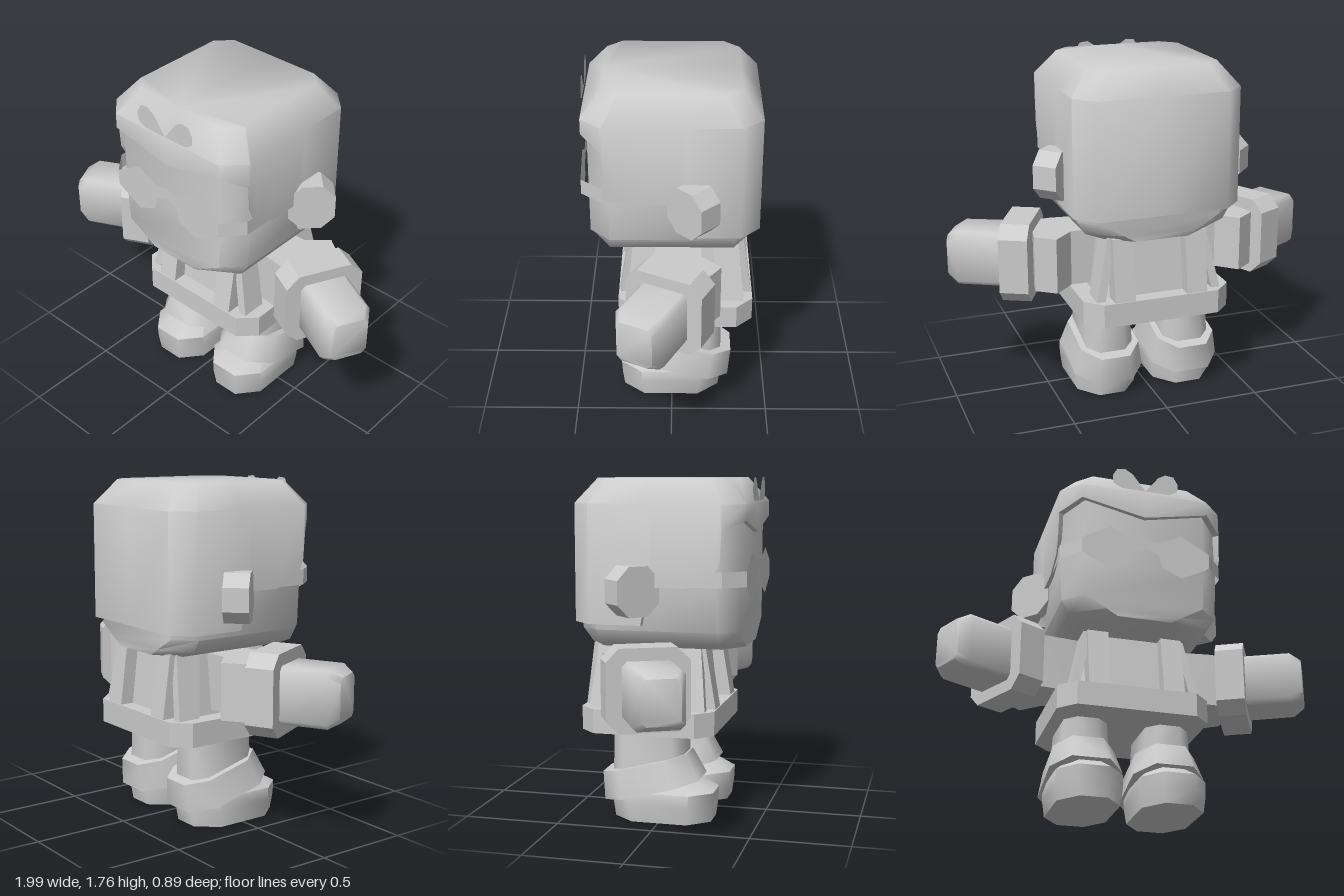
import * as THREE from 'three';
import { toCreasedNormals } from 'three/addons/utils/BufferGeometryUtils.js';

const grey = new THREE.MeshStandardMaterial({ color: 0xcccccc });
const thin = new THREE.MeshStandardMaterial({ color: 0xcccccc, side: THREE.DoubleSide });

function add(parent, name, geometry, material = grey) {
  const mesh = new THREE.Mesh(geometry, material);
  mesh.name = name;
  parent.add(mesh);
  return mesh;
}

// Skins a stack of closed rings, each running counter-clockwise seen from above.
function loft(rings, crease = 0.6, capBottom = true) {
  const n = rings[0].length;
  const index = [];
  for (let r = 0; r < rings.length - 1; r++) {
    for (let i = 0; i < n; i++) {
      const a = r * n + i, b = r * n + (i + 1) % n;
      index.push(a, b, b + n, a, b + n, a + n);
    }
  }
  const top = (rings.length - 1) * n;
  for (let i = 1; i < n - 1; i++) {
    index.push(top, top + i, top + i + 1);
    if (capBottom) index.push(0, i + 1, i);
  }
  const geo = new THREE.BufferGeometry();
  geo.setAttribute('position', new THREE.Float32BufferAttribute(rings.flat(2), 3));
  geo.setIndex(index);
  return toCreasedNormals(geo, crease);
}

// Chamfered rectangle; slope tilts it along z.
function ring(y, hx, back, front, cx, cz = cx, slope = 0) {
  return [
    [hx - cx, front], [hx, front - cz], [hx, back + cz], [hx - cx, back],
    [cx - hx, back], [-hx, back + cz], [-hx, front - cz], [cx - hx, front],
  ].map(([x, z]) => [x, y + slope * z, z]);
}

const rect = (y, x0, x1, back, front) =>
  [[x0, y, front], [x1, y, front], [x1, y, back], [x0, y, back]];

function octagonSlab(w, h, c, depth) {
  const s = new THREE.Shape([
    [w - c, -h], [w, c - h], [w, h - c], [w - c, h],
    [c - w, h], [-w, h - c], [-w, c - h], [c - w, -h],
  ].map(p => new THREE.Vector2(...p)));
  return new THREE.ExtrudeGeometry(s, { depth, bevelEnabled: false }).translate(0, 0, -depth / 2);
}

function buildHead(root) {
  const head = new THREE.Group();
  head.name = 'headGroup';
  root.add(head);

  add(head, 'head', loft([
    ring(0.9, 0.28, -0.41, 0.41, 0.14, 0.1),
    ring(0.935, 0.37, -0.41, 0.41, 0.17, 0.1),
    ring(1.0, 0.41, -0.41, 0.41, 0.1),
    ring(1.2, 0.42, -0.41, 0.41, 0.1),
    ring(1.6, 0.42, -0.41, 0.41, 0.1),
  ], 0.9));

  // Hair: half outline from fringe to nape as x, z and lower edge, then mirrored
  const half = [
    [0, 0.44, 1.48], [0.34, 0.44, 1.55], [0.44, 0.34, 1.5], [0.44, 0.33, 1.35],
    [0.44, 0.29, 1.27], [0.44, 0.16, 1.22], [0.44, -0.01, 1.22], [0.44, -0.06, 1.08],
    [0.44, -0.07, 1.03], [0.44, -0.34, 1.03], [0.34, -0.44, 1.03], [0, -0.44, 1.03],
  ];
  const outline = half.concat(half.slice(1, -1).reverse().map(([x, z, y]) => [-x, z, y]));
  const level = (scale, y) => outline.map(([x, z, low]) => [x * scale, y ?? low, z * scale]);
  add(head, 'hair', loft([level(0.94, 1.6), level(0.94), level(1), level(1, 1.63), level(0.773, 1.755)],
    0.95, false), thin);

  // Two-petal hair ornament
  const petals = [-1, 1].map(s => new THREE.Shape([
    [0, 1.64], [0.13, 1.64], [0.175, 1.665], [0.18, 1.71], [0.155, 1.755], [0.11, 1.76], [0.07, 1.735],
  ].map(([x, y]) => new THREE.Vector2(s * x, y))));
  add(head, 'hairOrnament', new THREE.ShapeGeometry(petals).translate(0, 0, 0.444), thin);

  // Glasses: flat front with arms wrapped around the temples
  const rim = [
    [0, 1.287], [0.065, 1.26], [0.085, 1.19], [0.19, 1.142], [0.32, 1.21], [0.34, 1.225],
    [0.34, 1.303], [0.3, 1.33], [0.19, 1.389], [0.06, 1.33], [0, 1.346],
  ];
  const front = rim.concat(rim.slice(1, -1).reverse().map(([x, y]) => [-x, y]));
  add(head, 'glassesFront',
    new THREE.ShapeGeometry(new THREE.Shape(front.map(p => new THREE.Vector2(...p)))).translate(0, 0, 0.447), thin);
  const path = [[0.34, 0.447], [0.432, 0.34], [0.432, 0]];
  for (const s of [-1, 1]) {
    const arm = new THREE.PlaneGeometry(1, 0.078, 2, 1);
    const p = arm.attributes.position;
    for (let i = 0; i < p.count; i++) {
      const [x, z] = path[i % 3];
      p.setXYZ(i, s * x, p.getY(i) + 1.264, z);
    }
    add(head, s > 0 ? 'glassesArmLeft' : 'glassesArmRight', toCreasedNormals(arm, 0.5), thin);

    const ear = add(head, s > 0 ? 'earLeft' : 'earRight', octagonSlab(0.117, 0.125, 0.065, 0.13));
    ear.position.set(s * 0.459, 1.205, -0.106);
    ear.rotation.y = s * Math.PI / 4;
  }
}

function buildTorso(root) {
  const torso = new THREE.Group();
  torso.name = 'torso';
  root.add(torso);
  add(torso, 'torsoCore', loft([
    ring(0.5, 0.31, -0.35, 0.21, 0.06), ring(0.93, 0.26, -0.3, 0.16, 0.06),
  ]));
  add(torso, 'jacketHem', loft([
    ring(0.46, 0.395, -0.42, 0.28, 0.085), ring(0.585, 0.395, -0.42, 0.28, 0.085),
  ]));
  // Raised jacket panels, front and back
  for (const s of [-1, 1]) {
    const span = (a, b) => s > 0 ? [a, b] : [-b, -a];
    for (const [name, low, high] of [['Panel', [0.14, 0.25], [0.14, 0.25]], ['Side', [0.29, 0.335], [0.22, 0.265]]]) {
      add(torso, 'jacketFront' + name, loft([
        rect(0.58, ...span(...low), 0.1, name === 'Panel' ? 0.275 : 0.235),
        rect(0.91, ...span(...high), 0.08, name === 'Panel' ? 0.22 : 0.2),
      ]));
      add(torso, 'jacketBack' + name, loft([
        rect(0.58, ...span(...low), name === 'Panel' ? -0.415 : -0.375, -0.25),
        rect(0.91, ...span(...high), name === 'Panel' ? -0.37 : -0.34, -0.2),
      ]));
    }
  }
}

function buildArm() {
  const arm = new THREE.Group();
  // Bent sleeve drawn in plan and raised
  const plan = [[0.2, 0.07], [0.44, 0.1], [0.55, 0.1], [0.6, -0.175], [0.503, -0.246], [0.4, -0.15], [0.2, -0.15]];
  add(arm, 'sleeve', loft([0.61, 0.9].map(y => plan.map(([x, z]) => [x, y, z]))));

  const forearm = new THREE.Group();
  forearm.name = 'forearm';
  forearm.rotation.y = -0.464;
  arm.add(forearm);
  const cuff = add(forearm, 'sleeveCuff', octagonSlab(0.207, 0.207, 0.065, 0.149).rotateY(Math.PI / 2));
  cuff.position.set(0.557, 0.755, -0.272);
  const hand = loft([
    ring(0.5, 0.145, -0.13, 0.13, 0.025),
    ring(0.87, 0.143, -0.128, 0.128, 0.025),
    ring(0.928, 0.11, -0.095, 0.095, 0.025),
  ], 1.0).rotateZ(-Math.PI / 2);
  add(forearm, 'hand', hand).position.set(0, 0.755, -0.272);
  return arm;
}

function buildLeg() {
  const leg = new THREE.Group();
  leg.position.x = 0.215;
  add(leg, 'trouserLeg', loft([
    ring(0.15, 0.135, -0.26, 0.12, 0.06), ring(0.48, 0.112, -0.26, 0.12, 0.06),
  ], 0.9));
  add(leg, 'bootCuff', loft([
    ring(0.168, 0.187, -0.3, 0.2, 0.09, 0.11, 0.26),
    ring(0.318, 0.158, -0.315, 0.13, 0.08, 0.1, 0.26),
  ], 0.9));
  add(leg, 'shoe', loft([
    ring(0, 0.16, -0.25, 0.258, 0.09, 0.11),
    ring(0.085, 0.17, -0.26, 0.268, 0.09, 0.11),
    ring(0.155, 0.17, -0.26, 0.272, 0.09, 0.11),
    ring(0.225, 0.1, -0.2, 0.15, 0.05, 0.08),
  ], 0.9));
  return leg;
}

export function createModel() {
  const root = new THREE.Group();
  root.name = 'figure';
  buildHead(root);
  buildTorso(root);
  for (const s of [-1, 1]) {
    const side = new THREE.Group();
    side.name = s > 0 ? 'leftLimbs' : 'rightLimbs';
    side.scale.x = s;
    const arm = buildArm(), leg = buildLeg();
    arm.name = 'arm';
    leg.name = 'leg';
    side.add(arm, leg);
    root.add(side);
  }
  return root;
}
